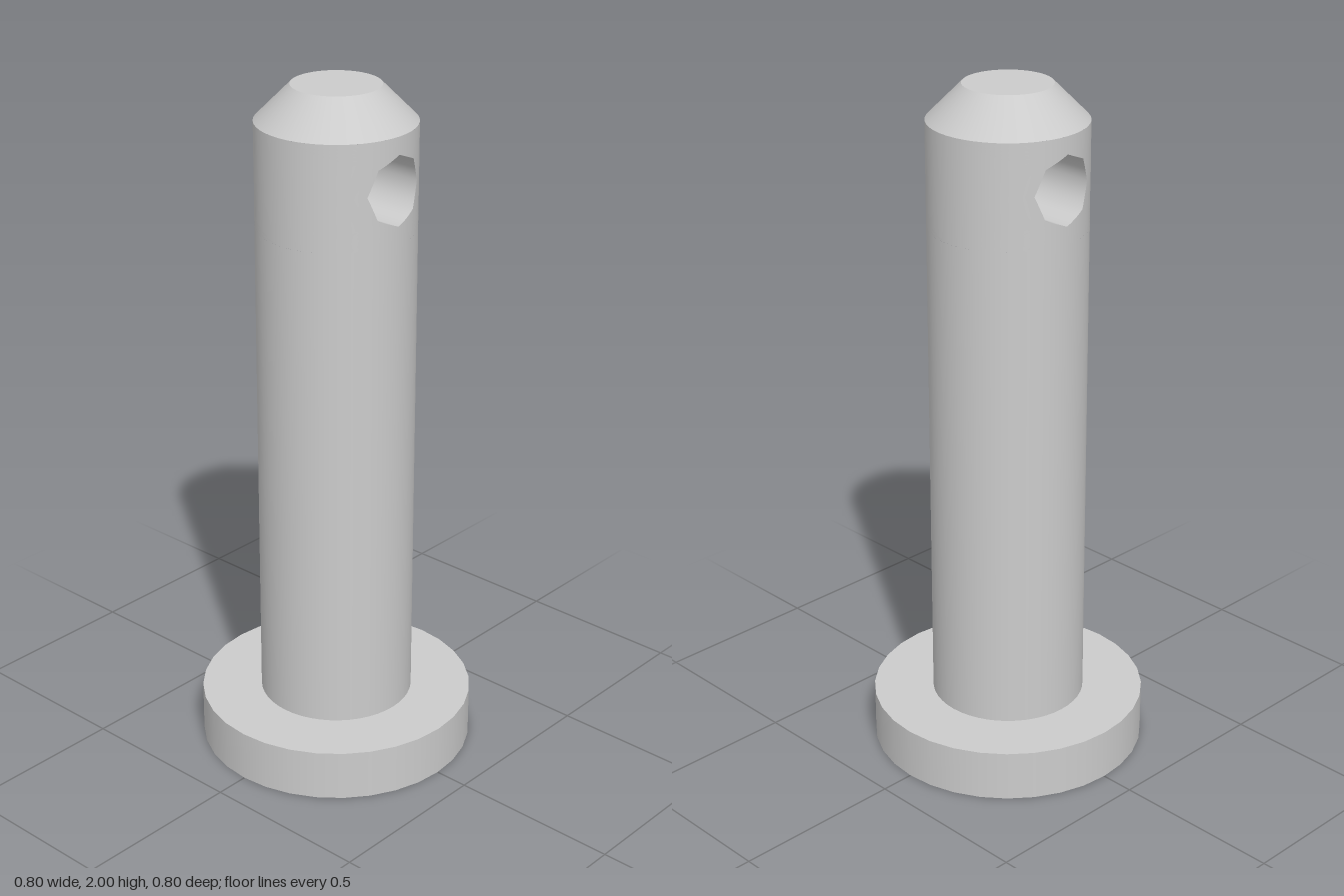
import * as THREE from 'three';
import { ParametricGeometry } from 'three/addons/geometries/ParametricGeometry.js';

const R = 0.224, HOLE_R = 0.1, HOLE_Y = 1.75, BAND_LOW = 1.6, SHANK_TOP = 1.9;
const SIDES = 8, STEPS = 96;

// Point of the eight-sided hole outline at turn t, as { y, z }
function holePoint(t) {
  const step = 2 * Math.PI / SIDES;
  const r = HOLE_R * Math.cos(step / 2) / Math.cos((t % step) - step / 2);
  return { y: HOLE_Y + r * Math.cos(t), z: -r * Math.sin(t) };
}

// Replace the normals by a rule on the vertex position
function setNormals(geometry, rule) {
  const p = geometry.attributes.position, n = geometry.attributes.normal;
  const v = new THREE.Vector3();
  for (let i = 0; i < p.count; i++) {
    rule(v.fromBufferAttribute(p, i)).normalize();
    n.setXYZ(i, v.x, v.y, v.z);
  }
  return geometry;
}

// Half of the cylindrical wall around one mouth of the hole
function wallGeometry() {
  const geometry = new ParametricGeometry((u, v, target) => {
    const t = u * 2 * Math.PI, c = Math.cos(t), s = -Math.sin(t);
    const m = Math.max(Math.abs(c), Math.abs(s));
    const inner = holePoint(t);
    const outerY = (BAND_LOW + SHANK_TOP) / 2 + (c / m) * (SHANK_TOP - BAND_LOW) / 2;
    const angle = THREE.MathUtils.lerp(Math.asin(inner.z / R), (s / m) * Math.PI / 2, v);
    target.set(R * Math.cos(angle), THREE.MathUtils.lerp(inner.y, outerY, v), R * Math.sin(angle));
  }, STEPS, 8);
  return setNormals(geometry, v => v.setY(0));
}

// Inner wall of the cross hole, trimmed to the shank's curve
function boreGeometry() {
  const geometry = new ParametricGeometry((u, v, target) => {
    const { y, z } = holePoint(u * 2 * Math.PI);
    target.set((2 * v - 1) * Math.sqrt(R * R - z * z), y, z);
  }, STEPS, 1);
  return setNormals(geometry, v => v.set(0, HOLE_Y - v.y, -v.z));
}

export function createModel() {
  const model = new THREE.Group();
  model.name = 'clevisPin';
  const material = new THREE.MeshStandardMaterial({ color: 0xcccccc });
  const add = (name, geometry, y = 0) => {
    const mesh = new THREE.Mesh(geometry, material);
    mesh.name = name;
    mesh.position.y = y;
    model.add(mesh);
    return mesh;
  };

  // Flat round head
  add('head', new THREE.CylinderGeometry(0.4, 0.4, 0.15, 32), 0.075);

  // Plain part of the shank
  const length = BAND_LOW - 0.15;
  add('shank', new THREE.CylinderGeometry(R, R, length, 48, 1, true), 0.15 + length / 2);

  // Drilled part of the shank, one half per hole mouth
  const wall = wallGeometry();
  add('leftDrilledWall', wall);
  add('rightDrilledWall', wall).rotation.y = Math.PI;
  add('crossHole', boreGeometry());

  // Chamfered tip
  const tip = [[R, SHANK_TOP], [0.125, 2]].map(p => new THREE.Vector2(...p));
  add('tipChamfer', new THREE.LatheGeometry(tip, 48));
  add('tipFace', new THREE.CircleGeometry(0.125, 48).rotateX(-Math.PI / 2), 2);

  return model;
}
